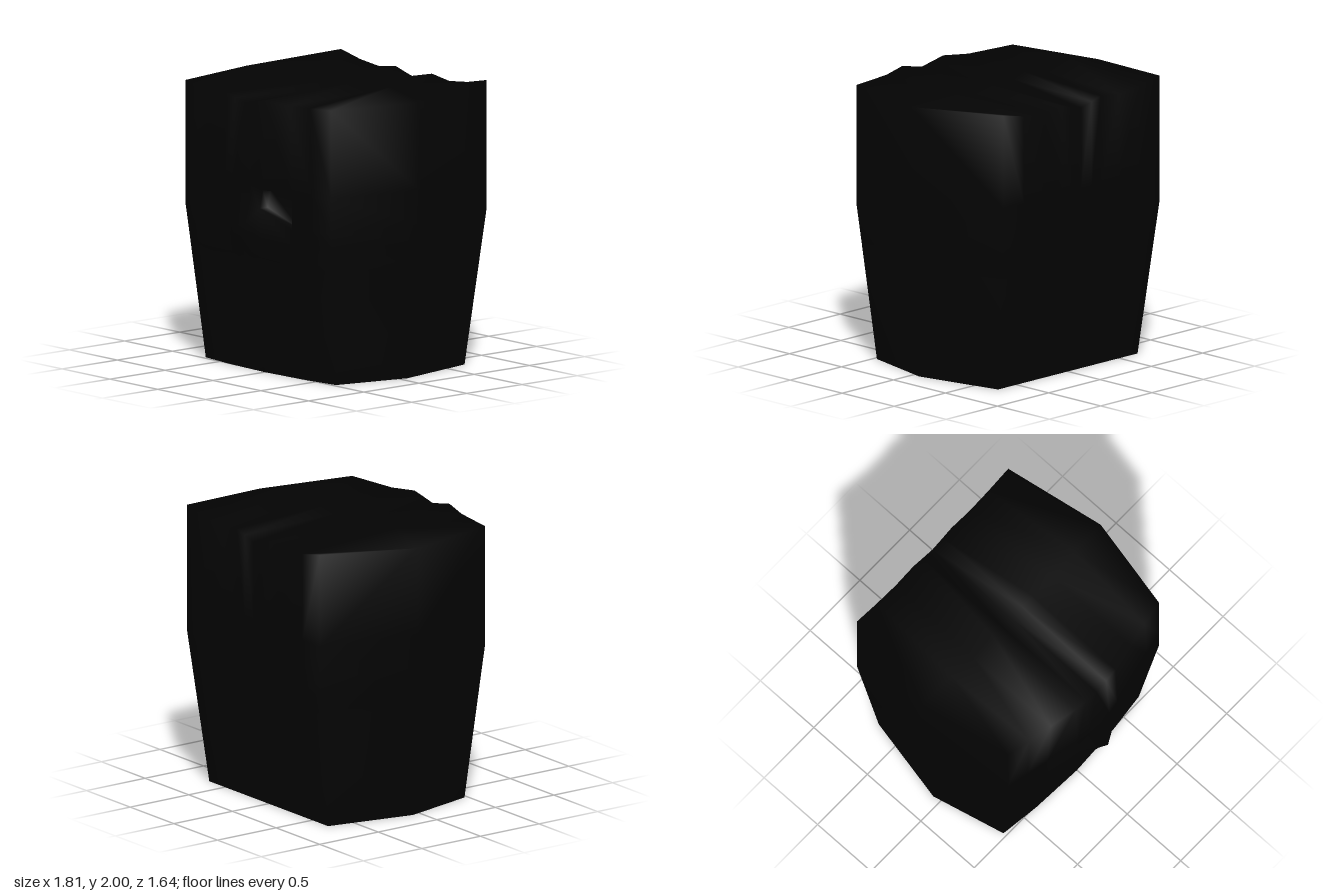
import * as THREE from 'three';

// Front profile of one half at each level, top to bottom: [x, y, z] from the centre line to the corner
const LEVELS = [
  [[0, 1.9, 0.71], [0.1, 1.92, 0.71], [0.2, 1.942, 0.705], [0.4, 1.925, 0.66], [0.76, 1.935, 0.59]],
  [[0, 1.36, 0.755], [0.1, 1.34, 0.74], [0.2, 1.32, 0.722], [0.44, 1.32, 0.665], [0.76, 1.32, 0.59]], // brow
  [[0, 1.05, 0.82], [0.08, 1.08, 0.78], [0.18, 1.19, 0.73], [0.44, 1.07, 0.667], [0.76, 1.08, 0.59]], // nose tip
  [[0, 0.98, 0.765], [0.08, 0.97, 0.745], [0.16, 0.97, 0.71], [0.43, 0.95, 0.657], [0.751, 0.96, 0.577]],
  [[0, 0.92, 0.76], [0.08, 0.88, 0.73], [0.15, 0.845, 0.7], [0.42, 0.84, 0.65], [0.742, 0.84, 0.564]], // nose base
  [[0, 0.84, 0.7], [0.06, 0.835, 0.685], [0.15, 0.84, 0.695], [0.42, 0.82, 0.645], [0.74, 0.82, 0.562]], // mouth
  [[0, 0.795, 0.715], [0.07, 0.82, 0.7], [0.15, 0.83, 0.685], [0.42, 0.8, 0.64], [0.739, 0.8, 0.56]], // lower lip
  [[0, 0.33, 0.597], [0.04, 0.33, 0.588], [0.19, 0.33, 0.572], [0.4, 0.33, 0.555], [0.704, 0.33, 0.51]], // chin
  [[0, 0, 0.53], [0.1, 0, 0.525], [0.2, 0, 0.52], [0.39, 0, 0.51], [0.68, 0, 0.475]],
];
const BACK_X = [0, 0.1, 0.19, 0.37, 0.56, 0.76];
const BACK_TOP = [1.89, 1.915, 1.94, 1.915, 1.935, 1.977];
const MID_X = [0, 0.1, 0.2, 0.4, 0.62];
const MID_TOP = [1.9, 1.935, 1.97, 1.94, 2.0, 1.93];
const COLS = 5; // columns on each side of the centre line
const EYE_DEPTH = 0.07;

const lerp = THREE.MathUtils.lerp;

function buildHead() {
  const points = [];
  const index = [];
  const add = (x, y, z) => points.push([x, y, z]) - 1;
  // The left half splits its quads the other way, so both halves mirror
  const quad = ([a, b, c, d], mirrored) => {
    if (mirrored) index.push(b, c, d, b, d, a);
    else index.push(a, b, c, a, c, d);
  };
  const columns = Array.from({ length: 2 * COLS + 1 }, (_, i) => i - COLS);

  // Front, side and back points of every level
  const rings = LEVELS.map((half, level) => {
    const corner = half[4];
    const cheek = half[3].map((v, k) => lerp(v, corner[k], 0.5));
    const row = [...half.slice(0, 4), cheek, corner];
    const top = level === 0;
    const y = corner[1];
    const t = Math.min(y / 1.08, 1); // taper below the middle
    const front = columns.map((c) => {
      const p = row[Math.abs(c)];
      return add(Math.sign(c) * p[0], p[1], p[2]);
    });
    const sideX = lerp(0.81, 0.905, t);
    const sideY = top ? MID_TOP[COLS] : y;
    const sideZ = lerp(-0.06, -0.09, t);
    const right = add(sideX, sideY, sideZ);
    const left = add(-sideX, sideY, sideZ);
    const scale = lerp(0.68, 0.76, t) / 0.76;
    const back = columns.map((c) => {
      const k = Math.abs(c);
      return add(Math.sign(c) * BACK_X[k] * scale, top ? BACK_TOP[k] : y, lerp(-0.69, -0.82, t));
    });
    return { front, right, left, back, loop: [...front, right, ...back.slice().reverse(), left] };
  });

  // Sunken eye: four walls and a floor
  const eye = (corners, mirrored) => {
    const deep = corners.map((i) => {
      const [x, y, z] = points[i];
      return add(x, y, z - EYE_DEPTH);
    });
    corners.forEach((a, i) => {
      const j = (i + 1) % 4;
      quad([a, corners[j], deep[j], deep[i]], mirrored);
    });
    quad(deep, mirrored);
  };

  // Walls between two loops, with the eyes below the brow
  const wall = (upper, lower, hasEyes) => upper.forEach((a, i) => {
    const j = (i + 1) % upper.length;
    const corners = [a, lower[i], lower[j], upper[j]];
    const mirrored = i < COLS || i >= 3 * COLS + 2;
    const isEye = hasEyes && (i === COLS + 2 || i === COLS - 3);
    (isEye ? eye : quad)(corners, mirrored);
  });
  for (let l = 0; l < rings.length - 1; l++) wall(rings[l].loop, rings[l + 1].loop, l === 1);

  // Narrow lip around the open base
  const rim = rings[rings.length - 1].loop;
  const inner = rim.map((i) => {
    const [x, y, z] = points[i];
    return add(x * 0.97, y, lerp(-0.08, z, 0.97));
  });
  wall(rim, inner, false);

  // Uneven crown
  const crown = rings[0];
  const mid = columns.map((c) => {
    const k = Math.abs(c);
    if (k === COLS) return c > 0 ? crown.right : crown.left;
    return add(Math.sign(c) * MID_X[k], MID_TOP[k], -0.07);
  });
  const rows = [crown.back, mid, crown.front];
  for (let r = 0; r < 2; r++) {
    for (let i = 0; i < 2 * COLS; i++) {
      quad([rows[r][i], rows[r + 1][i], rows[r + 1][i + 1], rows[r][i + 1]], i < COLS);
    }
  }

  const geometry = new THREE.BufferGeometry();
  geometry.setAttribute('position', new THREE.Float32BufferAttribute(points.flat(), 3));
  geometry.setIndex(index);
  geometry.computeVertexNormals();
  return geometry;
}

export function createModel() {
  const black = new THREE.MeshStandardMaterial({ color: 0x030303, side: THREE.DoubleSide });
  black.name = 'black';

  const group = new THREE.Group();
  group.name = 'carvedHead';
  const head = new THREE.Mesh(buildHead(), black);
  head.name = 'head';
  group.add(head);
  return group;
}
